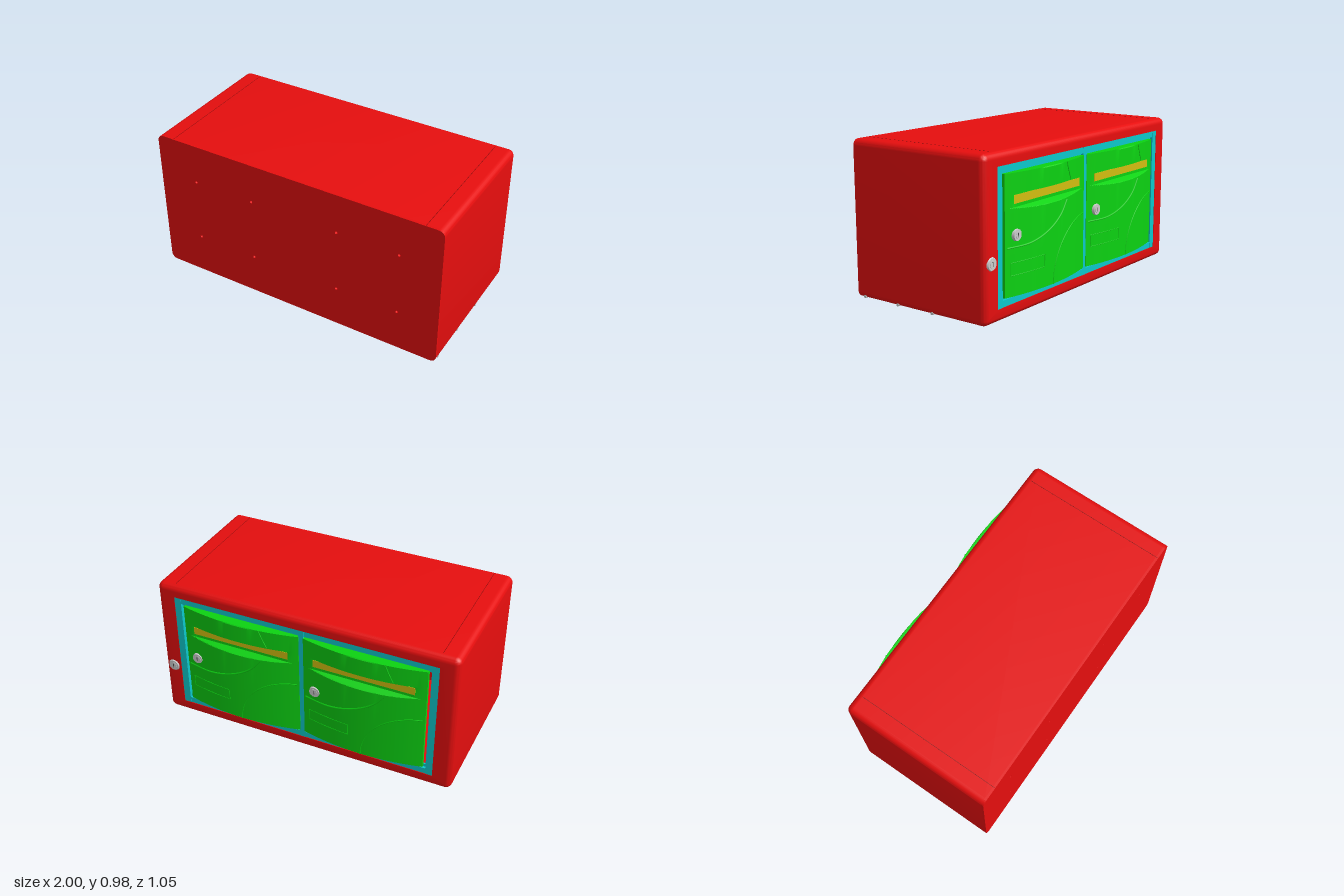
import * as THREE from 'three';
import { toCreasedNormals } from 'three/addons/utils/BufferGeometryUtils.js';

const mat = (color) => new THREE.MeshStandardMaterial({ color, side: THREE.DoubleSide });
const RED = mat(0xe60e0e), GREEN = mat(0x0cd212), CYAN = mat(0x0cc8cc), YELLOW = mat(0xd2be10), GREY = mat(0xcccccc);

const H = 0.98, CY = H / 2, FRONT = 0.52, BACK = -0.475;
const DOOR_HALF = 0.4, BULGE = 0.05;

function add(parent, name, geometry, material, x = 0, y = 0, z = 0) {
  const mesh = new THREE.Mesh(geometry, material);
  mesh.name = name;
  mesh.position.set(x, y, z);
  parent.add(mesh);
  return mesh;
}
const box = (parent, name, m, w, h, d, x, y, z) => add(parent, name, new THREE.BoxGeometry(w, h, d), m, x, y, z);

// Surface through rows of points, all rows having the same length
function skin(rows, crease = 0.5) {
  const n = rows[0].length, pos = [], index = [];
  rows.forEach((row) => row.forEach((p) => pos.push(...p)));
  for (let i = 0; i < rows.length - 1; i++) {
    for (let j = 0; j < n - 1; j++) {
      const a = i * n + j, b = a + n;
      index.push(a, b, a + 1, a + 1, b, b + 1);
    }
  }
  const g = new THREE.BufferGeometry();
  g.setAttribute('position', new THREE.Float32BufferAttribute(pos, 3));
  g.setIndex(index);
  return toCreasedNormals(g, crease);
}

// Closed rounded rectangle at depth z
function loop(hw, hh, r, z) {
  const pts = [];
  [[1, 1], [-1, 1], [-1, -1], [1, -1]].forEach(([sx, sy], q) => {
    for (let k = 0; k <= 6; k++) {
      const a = (q + k / 6) * Math.PI / 2;
      pts.push([sx * (hw - r) + r * Math.cos(a), CY + sy * (hh - r) + r * Math.sin(a), z]);
    }
  });
  pts.push(pts[0]);
  return pts;
}

// Height of the bowed door face
const bulge = (x) => BULGE * (1 - (x / DOOR_HALF) ** 2);

function doorFace() {
  // [y, greatest height]: bottom edge, body, sloped lip, letter recess, upper part
  const levels = [[0.13, -0.02], [0.13, 0.06], [0.38, 0.06], [0.62, 0.06]];
  for (let k = 0; k <= 10; k++) levels.push([0.625 + 0.025 * k / 10, 0.055 - 0.045 * k / 10]);
  levels.push([0.73, 0.01], [0.73, 0.06], [0.845, 0.06], [0.85, 0.045], [0.85, -0.02]);
  const N = 48;
  return skin(levels.map(([y, cap]) => {
    const row = [[-DOOR_HALF, y, BACK + 0.02]];
    for (let i = 0; i <= N; i++) {
      const x = DOOR_HALF * (2 * i / N - 1);
      row.push([x, y, BACK - Math.min(bulge(x), cap)]);
    }
    row.push([DOOR_HALF, y, BACK + 0.02]);
    return row;
  }));
}

// Thin moulding that follows the door face
function moulding(parent, name, points, r = 0.004) {
  const path = new THREE.CatmullRomCurve3(points.map(([x, y]) => new THREE.Vector3(x, y, BACK - bulge(x))));
  add(parent, name, new THREE.TubeGeometry(path, 28, r, 6), GREEN);
}

// Round lock with a collar, a plug and a key slot, facing the back
function lock(r, depth) {
  const g = new THREE.Group();
  g.name = 'lock';
  add(g, 'lockCollar', new THREE.CylinderGeometry(r * 0.85, r, depth, 28), GREY).rotation.x = -Math.PI / 2;
  add(g, 'lockPlug', new THREE.CylinderGeometry(r * 0.55, r * 0.55, 0.006, 24), GREY, 0, 0, -depth / 2).rotation.x = -Math.PI / 2;
  box(g, 'keySlot', mat(0x555555), r * 0.14, r * 0.7, 0.002, 0, 0, -depth / 2 - 0.003);
  return g;
}

function door(x) {
  const g = new THREE.Group();
  g.name = 'door';
  g.position.x = x;
  add(g, 'doorFace', doorFace(), GREEN);
  box(g, 'letterFlap', YELLOW, 0.66, 0.05, 0.03, 0, 0.695, BACK + 0.002);
  moulding(g, 'lockSweep', [[0.385, 0.42], [0.2, 0.425], [0.04, 0.47], [-0.08, 0.54], [-0.15, 0.62]], 0.006);
  moulding(g, 'upperSweep', [[-0.15, 0.85], [-0.17, 0.8], [-0.2, 0.735]]);
  const arc = [];
  for (let k = 0; k <= 10; k++) {
    const a = k / 10 * Math.PI / 2;
    arc.push([-0.385 + 0.38 * Math.cos(a), 0.13 + 0.36 * Math.sin(a)]);
  }
  moulding(g, 'cornerArc', arc);
  // Name plate outline
  for (const y of [0.255, 0.33]) moulding(g, 'plateEdge', [[0.08, y], [0.22, y], [0.36, y]], 0.0025);
  for (const px of [0.08, 0.36]) moulding(g, 'plateEdge', [[px, 0.255], [px, 0.33]], 0.0025);
  const l = lock(0.04, 0.03);
  l.position.set(0.315, 0.49, BACK - 0.014);
  g.add(l);
  return g;
}

export function createModel() {
  const model = new THREE.Group();

  // Hollow casing: outer walls, rounded rear edge, rim around the opening, inner walls
  const R = 0.04, rows = [loop(1, CY, R, FRONT - 0.015)];
  for (let k = 0; k <= 8; k++) {
    const a = k / 8 * Math.PI / 2, inset = R * (1 - Math.cos(a));
    rows.push(loop(1 - inset, CY - inset, Math.max(R - inset, 0.002), BACK + R - R * Math.sin(a)));
  }
  rows.push(loop(0.88, 0.41, 0.002, BACK), loop(0.88, 0.41, 0.002, BACK + 0.03),
    loop(0.98, 0.47, 0.02, BACK + 0.04), loop(0.98, 0.47, 0.02, FRONT - 0.01));
  add(model, 'casing', skin(rows), RED);

  // Flat front panel with fixing holes
  const panel = new THREE.Shape(loop(1, CY, R, 0).map(([x, y]) => new THREE.Vector2(x, y)));
  for (const x of [-0.725, -0.305, 0.305, 0.725]) {
    for (const y of [0.28, 0.71]) panel.holes.push(new THREE.Path().absarc(x, y, 0.009, 0, Math.PI * 2, true));
  }
  add(model, 'frontPanel', new THREE.ExtrudeGeometry(panel, { depth: 0.015, bevelEnabled: false }), RED, 0, 0, FRONT - 0.015);

  // Seams of the end covers on top and bottom
  for (const x of [-0.88, 0.88]) {
    for (const y of [0.0005, H]) box(model, 'coverSeam', mat(0x8a0808), 0.003, 0.001, 0.95, x, y, 0.04);
  }

  // Door frame
  for (const x of [-0.857, 0, 0.857]) box(model, 'frameUpright', CYAN, x ? 0.046 : 0.036, 0.82, 0.03, x, CY, BACK + 0.017);
  for (const y of [0.1, 0.88]) box(model, 'frameRail', CYAN, 1.67, 0.04, 0.03, 0, y, BACK + 0.019);
  box(model, 'frameBacking', CYAN, 1.7, 0.03, 0.01, 0, 0.125, BACK + 0.025);
  box(model, 'frameBacking', CYAN, 1.7, 0.03, 0.01, 0, 0.855, BACK + 0.025);

  for (const x of [0.415, -0.415]) model.add(door(x));

  // Lock of the end cover
  const coverLock = lock(0.042, 0.01);
  coverLock.position.set(0.935, 0.36, BACK - 0.002);
  model.add(coverLock);

  // Small pins along the lower edge of the end cover
  for (const z of [0.47, 0.197, -0.075]) {
    add(model, 'edgePin', new THREE.CylinderGeometry(0.01, 0.01, 0.04, 16), GREY, 0.975, 0.01, z).rotation.z = Math.PI / 2;
  }
  return model;
}
